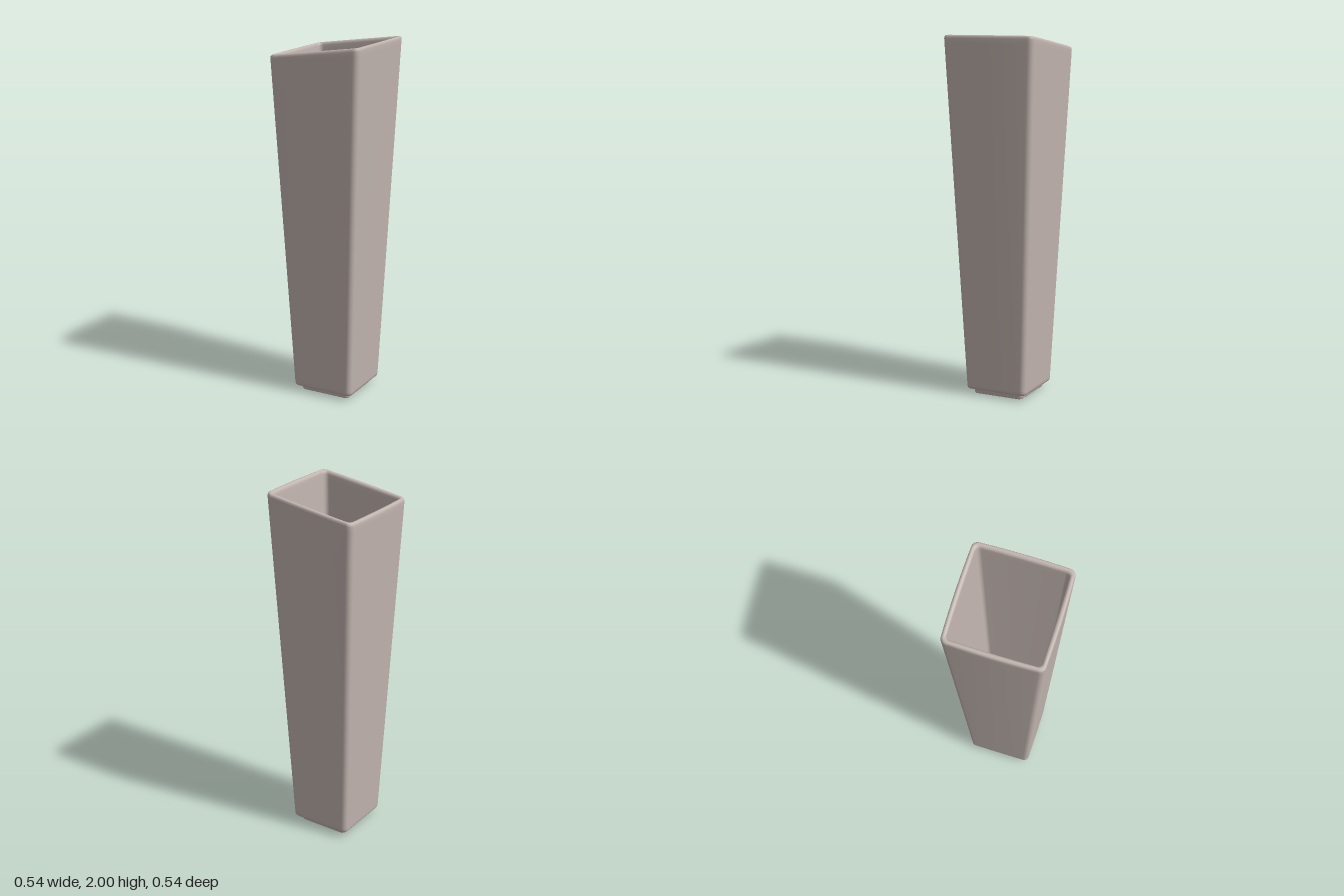
import * as THREE from 'three';

// Slightly bowed rounded-square outline, returned as [x, z] points
function outline(half, radius, bow) {
  const pts = [], arc = 6, side = 8, c = half - radius;
  for (let k = 0; k < 4; k++) {
    const turn = k * Math.PI / 2, cos = Math.cos(turn), sin = Math.sin(turn);
    const add = (x, z) => pts.push([x * cos - z * sin, x * sin + z * cos]);
    for (let i = 0; i < side; i++) {
      const t = -1 + 2 * i / side;
      add(half + bow * (1 - t * t), t * c);
    }
    for (let i = 0; i < arc; i++) {
      const a = i / arc * Math.PI / 2;
      add(c + radius * Math.cos(a), c + radius * Math.sin(a));
    }
  }
  return pts;
}

// Skins rings of [half width, height, corner radius, bow]; the rim slants up toward +x
function skin(rings) {
  const pos = [], idx = [];
  let n = 0;
  for (const [half, y, radius, bow] of rings) {
    const pts = outline(half, radius, bow);
    n = pts.length;
    const slant = THREE.MathUtils.clamp((y - 0.1) / 1.85, 0, 1);
    for (const [x, z] of pts) pos.push(x, y + slant * 0.14 * x, z);
  }
  for (let i = 0; i < rings.length - 1; i++) {
    for (let j = 0; j < n; j++) {
      const a = i * n + j, b = i * n + (j + 1) % n;
      idx.push(a, a + n, b, b, a + n, b + n);
    }
  }
  const g = new THREE.BufferGeometry();
  g.setAttribute('position', new THREE.Float32BufferAttribute(pos, 3));
  g.setIndex(idx);
  g.computeVertexNormals();
  return g;
}

// Evenly spaced rings up or down a tapering wall
function wall(from, to, steps) {
  return Array.from({ length: steps + 1 }, (_, i) =>
    from.map((v, k) => v + (to[k] - v) * i / steps));
}

export function createModel() {
  const ceramic = new THREE.MeshStandardMaterial({ color: 0xc2b5b0 });
  ceramic.name = 'warm grey ceramic';
  const group = new THREE.Group();
  group.name = 'squareVase';
  const add = (name, rings) => {
    const mesh = new THREE.Mesh(skin(rings), ceramic);
    mesh.name = name;
    group.add(mesh);
  };

  // Foot with a recessed underside
  add('foot', [
    [0.001, 0.022, 0.0005, 0], [0.112, 0.022, 0.012, 0], [0.118, 0.02, 0.012, 0],
    [0.121, 0.015, 0.012, 0], [0.123, 0.005, 0.013, 0], [0.127, 0.001, 0.015, 0],
    [0.132, 0, 0.016, 0], [0.14, 0, 0.018, 0], [0.145, 0.002, 0.02, 0],
    [0.148, 0.007, 0.021, 0], [0.15, 0.025, 0.022, 0], [0.152, 0.034, 0.022, 0]
  ]);

  // Outer shell, rounded lip and hollow inside
  add('body', [
    [0.145, 0.03, 0.02, 0], [0.152, 0.03, 0.022, 0], [0.166, 0.03, 0.024, 0],
    [0.175, 0.033, 0.026, 0], [0.18, 0.039, 0.028, 0], [0.182, 0.048, 0.029, 0.001],
    ...wall([0.1825, 0.06, 0.029, 0.001], [0.2655, 1.92, 0.032, 0.005], 12),
    [0.2665, 1.945, 0.032, 0.005], [0.265, 1.955, 0.032, 0.005],
    [0.261, 1.961, 0.03, 0.005], [0.255, 1.963, 0.028, 0.004],
    [0.248, 1.961, 0.026, 0.003], [0.243, 1.955, 0.025, 0.002],
    [0.241, 1.945, 0.025, 0.002],
    ...wall([0.24, 1.92, 0.025, 0.002], [0.16, 0.11, 0.02, 0.002], 12),
    [0.158, 0.095, 0.02, 0.002], [0.153, 0.085, 0.02, 0.002],
    [0.144, 0.08, 0.02, 0.001], [0.13, 0.079, 0.02, 0], [0.001, 0.079, 0.0005, 0]
  ]);
  return group;
}
